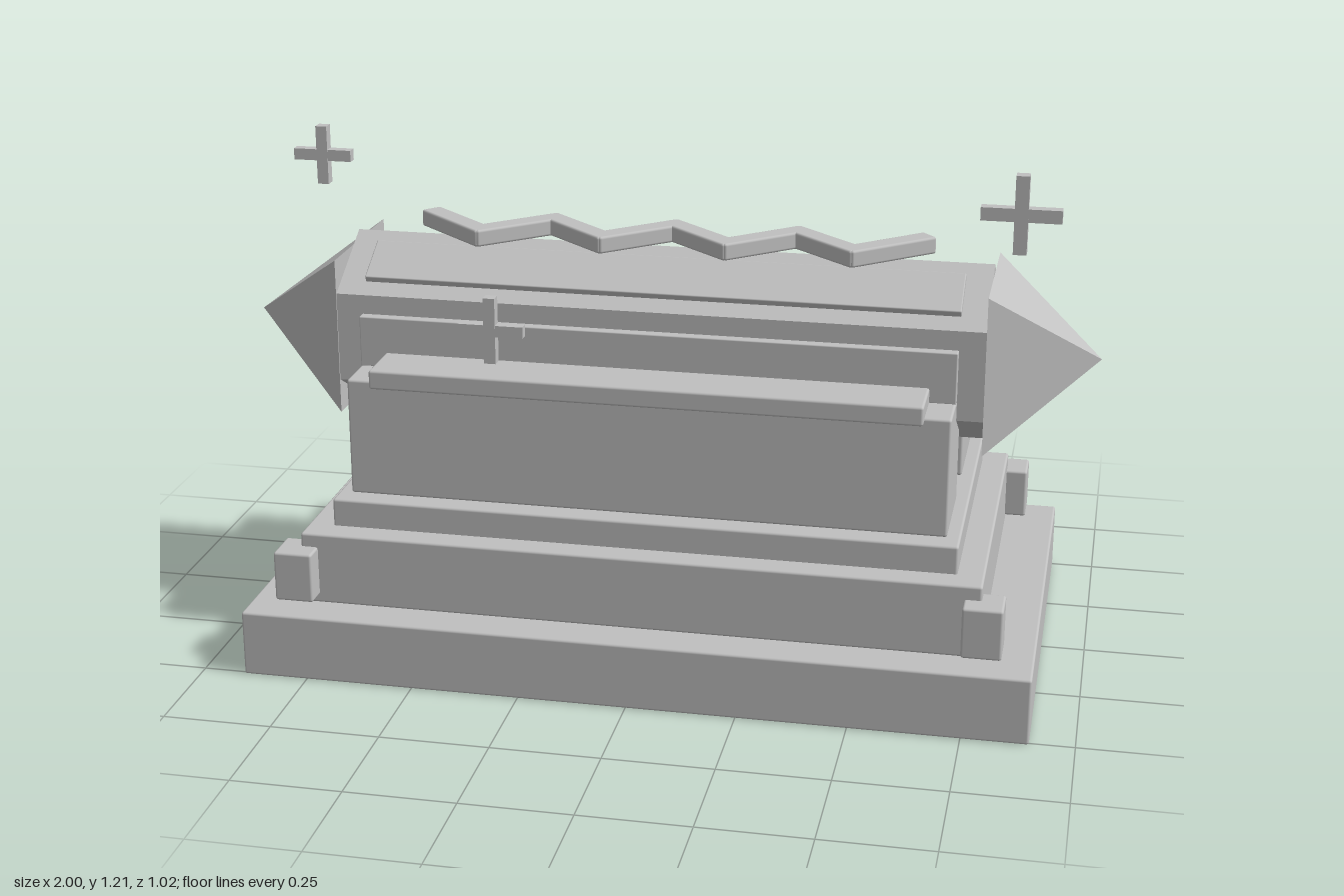
import * as THREE from 'three';
import { RoundedBoxGeometry } from 'three/addons/geometries/RoundedBoxGeometry.js';

const stone = new THREE.MeshStandardMaterial({ color: 0xc0c0c0 });
stone.name = 'grey stone';

export function createModel() {
  const model = new THREE.Group();
  model.name = 'crystalShrine';

  const add = (name, geometry, x, y, z, parent = model) => {
    const mesh = new THREE.Mesh(geometry, stone);
    mesh.name = name;
    mesh.position.set(x, y, z);
    parent.add(mesh);
    return mesh;
  };
  // Softly bevelled block centred on x, y, z
  const block = (name, w, h, d, x, y, z, bevel = 0.006) =>
    add(name, new RoundedBoxGeometry(w, h, d, 2, bevel), x, y, z);
  const faceted = (geometry) => {
    const flat = geometry.toNonIndexed();
    flat.computeVertexNormals();
    return flat;
  };

  // Stepped plinth
  block('base', 1.8, 0.155, 1.02, 0, 0.0775, 0);
  block('middleStep', 1.56, 0.17, 0.84, 0, 0.24, 0);
  block('upperStep', 1.44, 0.07, 0.72, 0, 0.355, 0);
  for (const sx of [-1, 1]) {
    for (const sz of [-1, 1]) {
      block('cornerBlock', 0.09, 0.118, 0.093, sx * 0.785, 0.234, sz * 0.423);
    }
  }

  // Two cradle walls with a rail on each
  for (const sz of [-1, 1]) {
    block('cradleWall', 1.38, 0.277, 0.236, 0, 0.528, sz * 0.192);
  }
  block('frontRail', 1.26, 0.045, 0.14, 0, 0.678, 0.265);
  block('backRail', 1.26, 0.045, 0.14, 0, 0.678, -0.215);

  // Six-sided crystal lying along x, ridge upward
  const prism = new THREE.CylinderGeometry(0.21, 0.21, 1.5, 6);
  prism.rotateY(Math.PI / 6).rotateZ(Math.PI / 2);
  add('crystalBody', faceted(prism), 0, 0.725, 0);

  // Pyramid tips
  for (const s of [-1, 1]) {
    const tip = new THREE.ConeGeometry(0.262, 0.25, 4);
    tip.rotateY(Math.PI / 4).rotateZ(-s * Math.PI / 2);
    add('crystalTip', faceted(tip), s * 0.875, 0.725, 0);
  }

  // Raised panels on the front of the crystal
  block('frontPanel', 1.38, 0.12, 0.03, 0, 0.725, 0.19, 0.003);
  const slope = block('slopedPanel', 1.38, 0.024, 0.12, 0, 0.885, 0.094, 0.003);
  slope.rotation.x = Math.PI / 6;

  // Zigzag along the ridge
  for (let i = 0; i < 8; i++) {
    const bar = block('zigzagBar', 0.235, 0.04, 0.052, (i - 3.5) * 0.145, 0.955, 0);
    bar.rotation.y = (i % 2 ? 1 : -1) * 0.73;
  }

  // Floating cross-shaped sparkles
  for (const [x, y, z, size, t] of [
    [-0.785, 1.146, 0.124, 0.135, 0.026],
    [0.81, 1.088, 0.124, 0.178, 0.03],
    [-0.365, 0.786, 0.243, 0.155, 0.027],
  ]) {
    const sparkle = new THREE.Group();
    sparkle.name = 'sparkle';
    sparkle.position.set(x, y, z);
    add('sparkleUpright', new THREE.BoxGeometry(t, size, t), 0, 0, 0, sparkle);
    add('sparkleCrossbar', new THREE.BoxGeometry(size, t, t * 0.9), 0, 0, 0, sparkle);
    model.add(sparkle);
  }

  return model;
}
